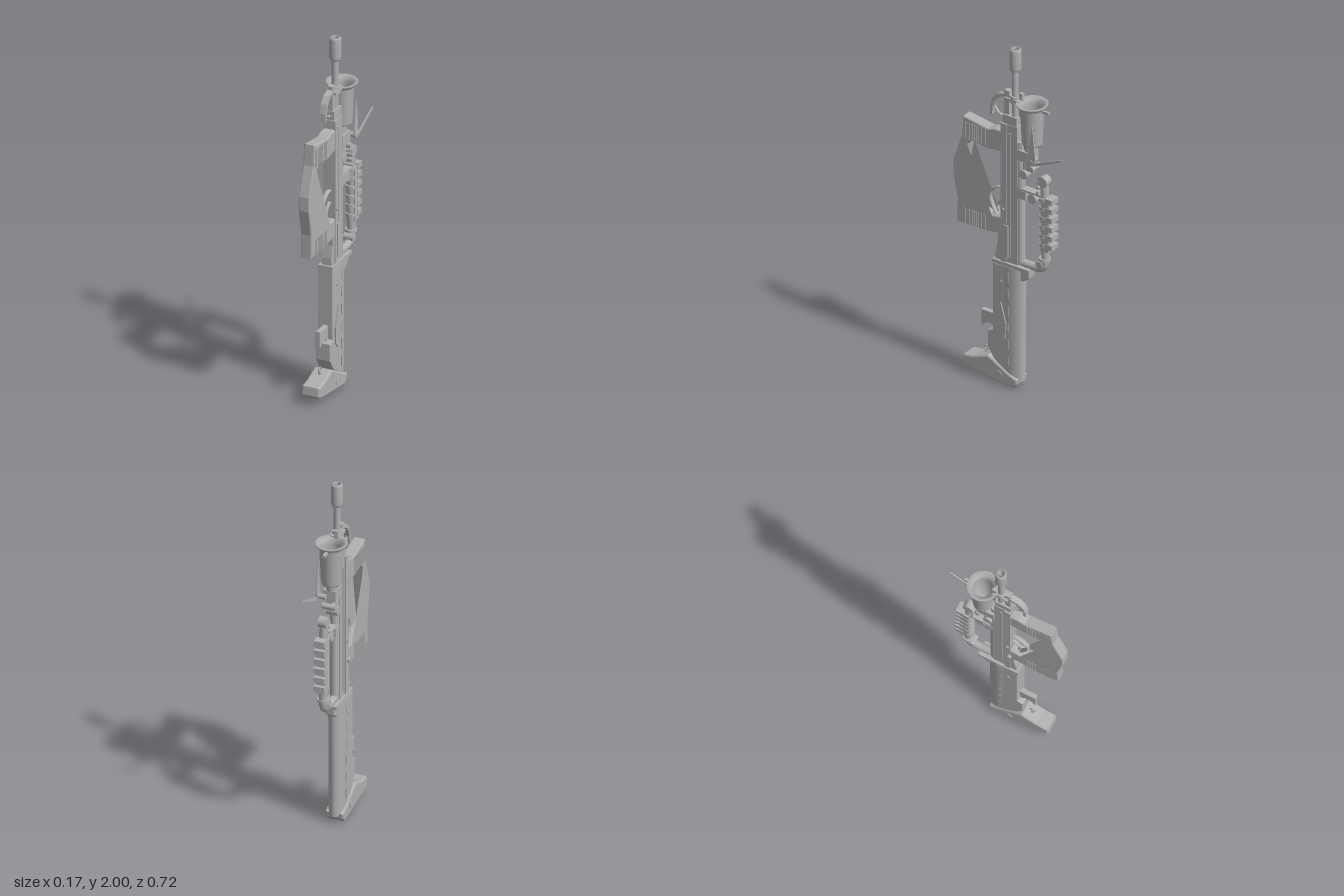
import * as THREE from 'three';

const metal = new THREE.MeshStandardMaterial({ color: 0xb0b0b0, side: THREE.DoubleSide });
metal.name = 'grey metal';
const C = 0.0095; // centre plane of the main body

export function createModel() {
  const root = new THREE.Group();
  root.name = 'rifle';

  const add = (name, geo, x = 0, y = 0, z = 0) => {
    const m = new THREE.Mesh(geo, metal);
    m.name = name;
    m.position.set(x, y, z);
    root.add(m);
    return m;
  };
  // side outline given as [z, y] points, extruded across x
  const plate = (name, pts, width, bevel = 0, x = C) => {
    const shape = new THREE.Shape(pts.map(p => new THREE.Vector2(p[0], p[1])));
    const g = new THREE.ExtrudeGeometry(shape, {
      depth: width - 2 * bevel, bevelEnabled: bevel > 0, bevelSize: bevel,
      bevelThickness: bevel, bevelOffset: -bevel, bevelSegments: 2,
    });
    g.translate(0, 0, -(width - 2 * bevel) / 2).rotateY(-Math.PI / 2);
    return add(name, g, x);
  };
  const box = (name, w, y0, y1, z0, z1, x = C) =>
    add(name, new THREE.BoxGeometry(w, y1 - y0, Math.abs(z1 - z0)), x, (y0 + y1) / 2, (z0 + z1) / 2);
  const lathe = (name, pts, x, z) =>
    add(name, new THREE.LatheGeometry(pts.map(p => new THREE.Vector2(p[0], p[1])), 32), x, 0, z);
  const rod = (name, r, y0, y1, z, x = C) =>
    add(name, new THREE.CylinderGeometry(r, r, y1 - y0, 24), x, (y0 + y1) / 2, z);
  const pin = (name, r, len, y, z, x = C) =>
    add(name, new THREE.CylinderGeometry(r, r, len, 20).rotateZ(Math.PI / 2), x, y, z);
  const tube = (name, pts, r, sx = 1, x = C) => {
    const curve = new THREE.CatmullRomCurve3(pts.map(p => new THREE.Vector3(0, p[1], p[0])));
    return add(name, new THREE.TubeGeometry(curve, 28, r, 10).scale(sx, 1, 1), x);
  };

  // barrel and hollow muzzle
  rod('barrel', 0.018, 1.5, 1.89, -0.02);
  const muzzle = lathe('muzzle', [[0.018, 1.865], [0.026, 1.87], [0.032, 1.885], [0.032, 1.99],
    [0.027, 2], [0.014, 2], [0.014, 1.93], [0, 1.93]], C, -0.022);
  muzzle.geometry.computeVertexNormals();

  // receiver
  box('receiver side plates', 0.07, 0.73, 1.55, 0.015, 0.05);
  box('receiver core', 0.056, 0.73, 1.55, -0.05, 0.016);
  rod('gas tube', 0.024, 0.73, 1.46, -0.056);
  for (const s of [-1, 1]) {
    box('receiver rail', 0.006, 0.76, 1.5, -0.012, 0.002, C + s * 0.03);
    pin('receiver pin', 0.009, 0.008, 1.04, 0.033, C + s * 0.038);
  }
  box('ejection cover', 0.008, 0.76, 0.95, 0, 0.03, C + 0.036);
  pin('bolt knob', 0.014, 0.014, 0.92, 0.045, C - 0.042);
  plate('receiver neck', [[0.04, 0.98], [0.075, 0.96], [0.07, 0.84], [0.085, 0.77],
    [0.085, 0.73], [0.03, 0.73]], 0.062, 0.004);

  // carrying handle with grip ribs
  plate('carryHandle', [[0.04, 1.5], [0.09, 1.5], [0.132, 1.487], [0.29, 1.512], [0.3, 1.395],
    [0.355, 1.236], [0.357, 1.156], [0.328, 1.01], [0.33, 0.875], [0.14, 0.875], [0.07, 0.886],
    [0.04, 0.886], [0.04, 0.99], [0.13, 0.975], [0.32, 1.018], [0.262, 1.355], [0.235, 1.379],
    [0.13, 1.367], [0.04, 1.38]], 0.064, 0.007);
  for (let i = 0; i < 10; i++) {
    const z = 0.145 + i * 0.0145;
    box('upper grip rib', 0.07, 1.383, 1.482, z, z + 0.007);
    box('lower grip rib', 0.07, 0.88, 0.968, z, z + 0.007);
  }

  // trigger and guard
  tube('triggerGuard', [[0.04, 1.145], [0.08, 1.145], [0.12, 1.12], [0.137, 1.08],
    [0.125, 1.03], [0.1, 0.985], [0.08, 0.96]], 0.007, 2);
  tube('trigger', [[0.04, 1.08], [0.07, 1.065], [0.09, 1.035], [0.085, 1.0]], 0.007, 1.5);

  // front sight post and curved hood
  box('sight bracket', 0.056, 1.69, 1.705, -0.06, 0.03);
  box('sight post', 0.03, 1.55, 1.74, 0.008, 0.04);
  box('barrel clamp', 0.05, 1.55, 1.6, -0.045, 0.045);
  rod('barrel ring', 0.027, 1.68, 1.72, -0.02);
  plate('sight hood', [[-0.02, 1.72], [0.04, 1.72], [0.085, 1.705], [0.115, 1.67], [0.13, 1.62],
    [0.132, 1.57], [0.118, 1.57], [0.112, 1.62], [0.098, 1.66], [0.072, 1.69], [0.035, 1.703],
    [-0.02, 1.705]], 0.033);
  tube('sight arm', [[0.03, 1.57], [0.06, 1.575], [0.09, 1.59], [0.108, 1.615]], 0.006, 1.5);

  // launcher cup with flared rim
  const cz = -0.122;
  lathe('launcher cup', [[0, 1.46], [0.05, 1.46], [0.055, 1.47], [0.064, 1.67], [0.07, 1.685],
    [0.085, 1.693], [0.085, 1.703], [0.058, 1.698], [0.052, 1.66], [0.05, 1.5], [0, 1.5]], 0, cz);
  box('cup clip', 0.014, 1.665, 1.68, -0.23, -0.18, 0);
  box('cup clamp', 0.02, 1.6, 1.74, -0.065, -0.045, 0);
  rod('cup neck', 0.032, 1.41, 1.47, -0.11, 0);
  box('cup mount', 0.07, 1.36, 1.42, -0.14, -0.045, 0.005);
  rod('mount stem', 0.018, 1.26, 1.37, -0.088, 0.005);
  pin('mount wheel', 0.026, 0.06, 1.278, -0.085, 0.005);
  pin('mount screw', 0.016, 0.075, 1.33, -0.143, 0.005);
  box('mount tab', 0.03, 1.3, 1.37, -0.14, -0.09, 0.005);

  // folding sight blades on the left side
  plate('sight leaf', [[-0.355, 1.465], [-0.36, 1.457], [-0.18, 1.372], [-0.15, 1.368],
    [-0.145, 1.385], [-0.19, 1.395]], 0.006, 0, 0.063);
  plate('sight spike', [[-0.165, 1.61], [-0.138, 1.42], [-0.145, 1.375], [-0.17, 1.375],
    [-0.185, 1.41]], 0.006, 0, 0.06);
  pin('leaf pivot', 0.014, 0.05, 1.39, -0.155, 0.042);

  // front grip tube bending back to the body
  tube('foregrip tube', [[-0.207, 1.27], [-0.212, 1.1], [-0.212, 0.9], [-0.212, 0.79], [-0.2, 0.755],
    [-0.16, 0.742], [-0.06, 0.742]], 0.023);
  pin('foregrip cap', 0.03, 0.045, 1.27, -0.207);
  pin('foregrip lower pivot', 0.02, 0.056, 0.775, -0.19);
  for (let i = 0; i < 6; i++) {
    const y = 0.885 + i * 0.054;
    box('rail tooth', 0.061, y, y + 0.03, -0.275, -0.23);
    rod('tube band', 0.03, y + 0.005, y + 0.022, -0.212);
  }
  box('accessory rail', 0.053, 0.865, 1.17, -0.253, -0.2);
  rod('tube collar', 0.032, 1.16, 1.175, -0.21);
  rod('tube lower collar', 0.032, 0.8, 0.815, -0.21);
  for (let i = 0; i < 3; i++) pin('cap screw', 0.008, 0.05, 1.2 + i * 0.03, -0.178);
  box('foregrip bridge', 0.045, 1.178, 1.19, -0.2, -0.04);
  box('bridge clamp', 0.05, 1.13, 1.18, -0.105, -0.05);
  pin('bridge knob', 0.027, 0.04, 1.148, -0.138);

  // stock: flat front block and rounded back
  box('stock flange', 0.084, 0.71, 0.73, -0.135, 0.098);
  plate('stock block', [[0.095, 0.71], [0.095, 0.31], [0.127, 0.295], [0.127, 0.2], [0.09, 0.14],
    [0, 0.07], [-0.03, 0.07], [-0.03, 0.71]], 0.084, 0.005);
  const back = new THREE.CylinderGeometry(1, 0.94, 0.67, 32).scale(0.045, 1, 0.075);
  add('stock back', back, C, 0.375, -0.01);
  plate('stock wedge', [[-0.07, 0.71], [-0.13, 0.71], [-0.128, 0.675], [-0.09, 0.645],
    [-0.07, 0.64]], 0.056, 0.006);
  for (const s of [-1, 1]) {
    pin('stock pin', 0.01, 0.008, 0.61, 0.042, C + s * 0.043);
    pin('butt screw', 0.022, 0.008, 0.06, 0.05, C + s * 0.051);
    for (let i = 0; i < 6; i++)
      box('stock seam', 0.004, 0.12 + i * 0.1, 0.18 + i * 0.1, -0.008, -0.002, C + s * 0.0455);
  }
  plate('stock side leaf', [[0.04, 0.49], [0.075, 0.37], [0.07, 0.28], [0.045, 0.25],
    [0.01, 0.28], [0.005, 0.37]], 0.009, 0, C + 0.045);
  plate('stock hook', [[0.09, 0.388], [0.187, 0.388], [0.187, 0.29], [0.155, 0.318],
    [0.125, 0.32], [0.09, 0.29]], 0.027, 0.003);

  // butt and sling ring
  plate('butt', [[0.275, 0.107], [0.28, 0.06], [0.265, 0.042], [-0.037, 0], [-0.06, 0.025],
    [-0.065, 0.055], [0, 0.085], [0.085, 0.133], [0.122, 0.15], [0.21, 0.117]], 0.102, 0.01);
  rod('sling stud', 0.007, 0.12, 0.152, 0.163);
  add('sling ring', new THREE.TorusGeometry(0.012, 0.004, 8, 20).rotateY(Math.PI / 2), C, 0.162, 0.163);

  return root;
}
